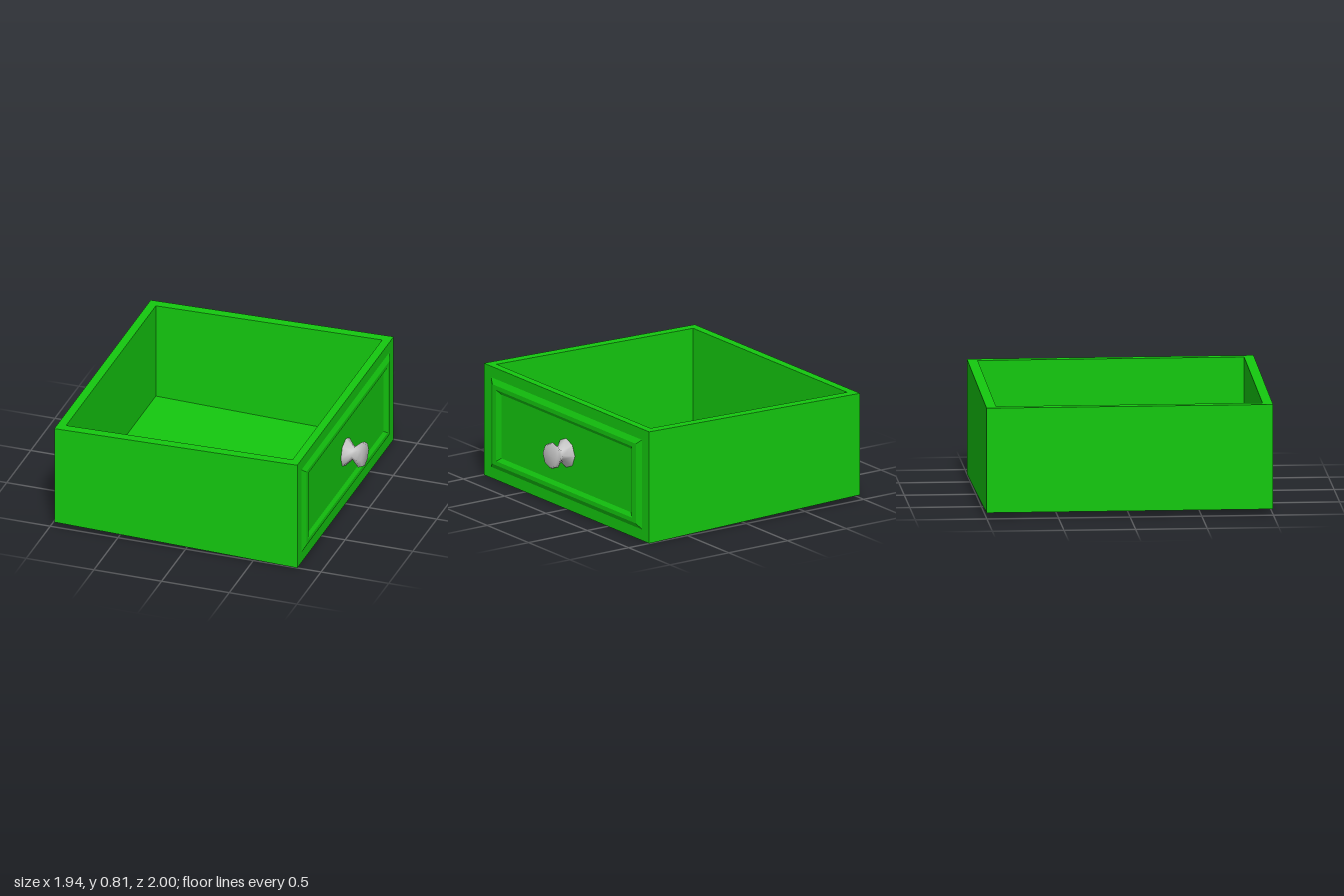
import * as THREE from 'three';

const green = new THREE.MeshStandardMaterial({ color: 0x14c80f });
const grey = new THREE.MeshStandardMaterial({ color: 0xcccccc });

// Skins a list of four-cornered loops with flat faces, with optional end caps
function skin(loops, capStart, capEnd) {
  const pos = [];
  const quad = (a, b, c, d) => pos.push(...a, ...b, ...c, ...a, ...c, ...d);
  for (let k = 0; k < loops.length - 1; k++) {
    const a = loops[k], b = loops[k + 1];
    for (let i = 0; i < 4; i++) {
      const j = (i + 1) % 4;
      quad(a[i], a[j], b[j], b[i]);
    }
  }
  if (capStart) quad(...[...loops[0]].reverse());
  if (capEnd) quad(...loops[loops.length - 1]);
  const geo = new THREE.BufferGeometry();
  geo.setAttribute('position', new THREE.Float32BufferAttribute(pos, 3));
  geo.computeVertexNormals();
  return geo;
}

// The box tapers: it is taller at the face end (+x) than at the rear
const X0 = -0.97, X1 = 0.825;
const along = (x) => (x - X0) / (X1 - X0);
const topY = (x) => THREE.MathUtils.lerp(0.777, 0.812, along(x));
const bottomY = (x) => THREE.MathUtils.lerp(0.038, 0, along(x));
const floorY = (x) => bottomY(x) + 0.028;

// Horizontal loop, counter-clockwise from above
const boxLoop = (x0, x1, z, y) =>
  [[x1, z], [x1, -z], [x0, -z], [x0, z]].map(([x, zz]) => [x, y(x), zz]);

// Upright loop on the face, counter-clockwise from +x
const faceLoop = (x, z, y0, y1) => [[x, y0, -z], [x, y1, -z], [x, y1, z], [x, y0, z]];

export function createModel() {
  const model = new THREE.Group();
  model.name = 'drawer';
  const add = (name, geometry, material) => {
    const mesh = new THREE.Mesh(geometry, material);
    mesh.name = name;
    model.add(mesh);
    return mesh;
  };

  // Hollow box: outer walls, rim, inner walls, floor
  add('drawerBox', skin([
    boxLoop(X0, X1, 1, bottomY),
    boxLoop(X0, X1, 1, topY),
    boxLoop(-0.907, 0.765, 0.93, topY),
    boxLoop(-0.907, 0.765, 0.93, floorY),
  ], true, true), green);

  // Raised bevelled moulding around the face panel
  add('faceMoulding', skin([
    faceLoop(X1, 0.913, 0.08, 0.732),
    faceLoop(0.845, 0.868, 0.116, 0.695),
    faceLoop(0.845, 0.822, 0.146, 0.665),
    faceLoop(0.828, 0.783, 0.174, 0.638),
  ], false, true), green);

  // Eight-sided waisted knob
  const profile = [[0.108, 0.826], [0.045, 0.886], [0.096, 0.942], [0.085, 0.967], [0, 0.969]]
    .map(([r, h]) => new THREE.Vector2(r, h));
  const knob = add('knob', new THREE.LatheGeometry(profile, 8).rotateZ(-Math.PI / 2), grey);
  knob.position.y = 0.41;

  return model;
}
